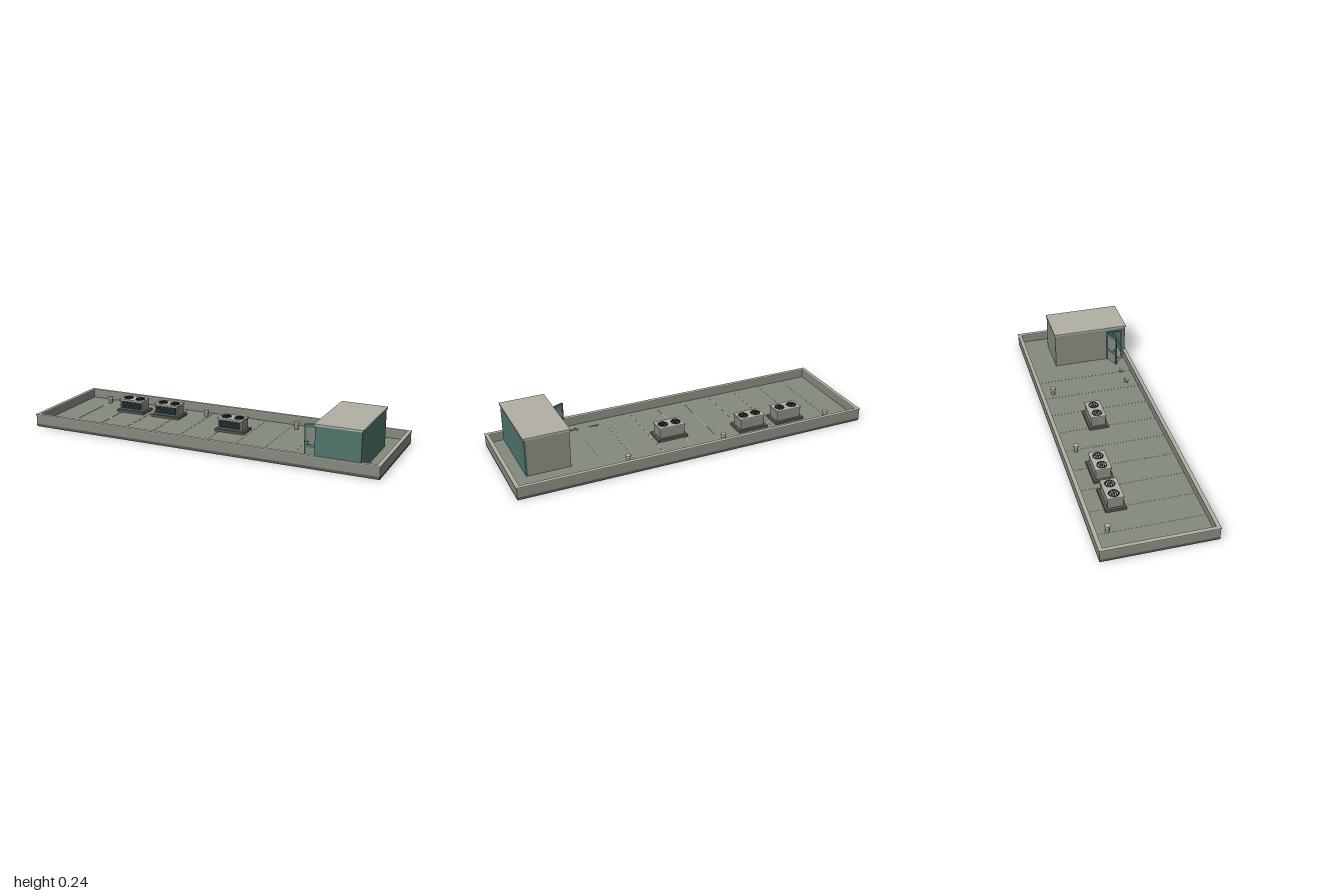
import * as THREE from 'three';

const mat = (name, color) => {
  const m = new THREE.MeshStandardMaterial({ color });
  m.name = name;
  return m;
};

export function createModel() {
  const M = {
    concrete: mat('concrete', 0x848a7e),
    trim: mat('pale trim', 0xb2afa3),
    teal: mat('teal cladding', 0x4d736a),
    dark: mat('dark base', 0x55564f),
    black: mat('fan black', 0x2a2d2c),
    navy: mat('grille navy', 0x1f303a),
  };
  const model = new THREE.Group();
  model.name = 'rooftop';

  const add = (parent, name, geo, material, x = 0, y = 0, z = 0) => {
    const m = new THREE.Mesh(geo, material);
    m.name = name;
    m.position.set(x, y, z);
    parent.add(m);
    return m;
  };
  // box given by its limits
  const box = (parent, name, material, x0, x1, y0, y1, z0, z1) =>
    add(parent, name, new THREE.BoxGeometry(x1 - x0, y1 - y0, z1 - z0), material,
      (x0 + x1) / 2, (y0 + y1) / 2, (z0 + z1) / 2);
  // horizontal plate with a rectangular hole; limits are [x0, x1, z0, z1]
  const rect = (P, [x0, x1, z0, z1]) => new P().setFromPoints([
    new THREE.Vector2(x0, -z1), new THREE.Vector2(x1, -z1),
    new THREE.Vector2(x1, -z0), new THREE.Vector2(x0, -z0), new THREE.Vector2(x0, -z1)]);
  const plate = (name, material, outer, hole, y0, y1) => {
    const s = rect(THREE.Shape, outer);
    s.holes.push(rect(THREE.Path, hole));
    const g = new THREE.ExtrudeGeometry(s, { depth: y1 - y0, bevelEnabled: false });
    g.rotateX(-Math.PI / 2);
    return add(model, name, g, material, 0, y0, 0);
  };

  // Slab with stairwell opening, roof deck, parapet and coping
  const well = [0.68, 0.87, -0.12, 0.2];
  const inner = [-0.982, 0.982, -0.285, 0.285];
  plate('slab', M.dark, [-0.997, 0.997, -0.3, 0.3], well, 0, 0.015);
  plate('roofDeck', M.concrete, inner, well, 0.015, 0.02);
  plate('parapet', M.concrete, [-0.997, 0.997, -0.3, 0.3], inner, 0.015, 0.066);
  plate('coping', M.trim, [-1, 1, -0.303, 0.303], [-0.979, 0.979, -0.282, 0.282], 0.066, 0.071);

  // Deck seams
  for (let i = -5; i <= 5; i++) {
    const x = i / 6;
    if (i === 4 || i === 5) continue;
    box(model, 'deckSeam', M.trim, x - 0.0015, x + 0.0015, 0.02, 0.0212, -0.285, 0.285);
  }

  // Vent pipes with caps
  for (const x of [-0.825, -0.18, 0.375]) {
    add(model, 'ventPipe', new THREE.CylinderGeometry(0.011, 0.011, 0.03, 16), M.concrete, x, 0.035, -0.215);
    add(model, 'ventCap', new THREE.CylinderGeometry(0.015, 0.015, 0.01, 16), M.trim, x, 0.055, -0.215);
  }

  // Cooling units
  for (const [x, z] of [[-0.61, -0.135], [-0.38, -0.135], [0.065, -0.045]]) {
    const unit = new THREE.Group();
    unit.name = 'coolingUnit';
    unit.position.set(x, 0.02, z);
    model.add(unit);
    box(unit, 'plinth', M.dark, -0.087, 0.087, 0, 0.014, -0.055, 0.055);
    box(unit, 'housing', M.concrete, -0.072, 0.072, 0.014, 0.07, -0.04, 0.04);
    box(unit, 'lid', M.trim, -0.076, 0.076, 0.07, 0.076, -0.044, 0.044);
    box(unit, 'grille', M.navy, -0.064, 0.064, 0.02, 0.064, 0.04, 0.042);
    for (let i = 0; i < 4; i++)
      box(unit, 'louvre', M.black, -0.064, 0.064, 0.025 + i * 0.01, 0.028 + i * 0.01, 0.042, 0.044);
    for (const fx of [-0.038, 0.038]) {
      const ring = add(unit, 'fanRing', new THREE.TorusGeometry(0.025, 0.003, 6, 24), M.black, fx, 0.077, 0);
      ring.rotation.x = Math.PI / 2;
      for (const dz of [-0.012, 0, 0.012]) {
        const w = dz ? 0.018 : 0.023;
        box(unit, 'fanSlat', M.black, fx - w, fx + w, 0.076, 0.079, dz - 0.0025, dz + 0.0025);
      }
      add(unit, 'fanHub', new THREE.CylinderGeometry(0.007, 0.007, 0.004, 12), M.black, fx, 0.078, 0);
    }
  }

  // Stair hut
  const hut = new THREE.Group();
  hut.name = 'stairHut';
  model.add(hut);
  const y0 = 0.02, y1 = 0.228;
  box(hut, 'frontWall', M.teal, 0.66, 0.9, y0, y1, 0.285, 0.296);
  box(hut, 'leftWall', M.teal, 0.89, 0.9, y0, y1, -0.134, 0.285);
  box(hut, 'backWall', M.concrete, 0.66, 0.89, y0, y1, -0.134, -0.124);
  box(hut, 'doorSideWall', M.concrete, 0.66, 0.67, y0, y1, -0.124, 0.19);
  box(hut, 'doorJamb', M.concrete, 0.66, 0.67, y0, y1, 0.272, 0.285);
  box(hut, 'doorHeader', M.concrete, 0.66, 0.67, 0.205, y1, 0.19, 0.272);
  box(hut, 'hutRoof', M.trim, 0.655, 0.905, y1, 0.238, -0.138, 0.301);

  // Door frame and threshold grating
  box(hut, 'frameTop', M.teal, 0.655, 0.66, 0.203, 0.211, 0.182, 0.28);
  for (const z of [0.182, 0.272])
    box(hut, 'frameSide', M.teal, 0.655, 0.66, y0, 0.203, z, z + 0.008);
  for (let i = 0; i < 5; i++)
    box(hut, 'thresholdBar', M.trim, 0.636, 0.66, y0, 0.027, 0.198 + i * 0.017, 0.206 + i * 0.017);

  // Door leaf swung open about its hinge
  const door = new THREE.Group();
  door.name = 'door';
  door.position.set(0.656, 0, 0.188);
  door.rotation.y = Math.atan2(0.032, 0.076);
  hut.add(door);
  box(door, 'leaf', M.concrete, -0.08, 0, 0.025, 0.2, -0.003, 0.003);
  box(door, 'topRail', M.teal, -0.082, 0, 0.186, 0.205, -0.005, 0.005);
  box(door, 'midRail', M.teal, -0.082, 0, 0.08, 0.098, -0.005, 0.005);
  box(door, 'freeStile', M.teal, -0.084, -0.074, 0.025, 0.204, -0.0045, 0.0045);
  box(door, 'handle', M.black, -0.074, -0.062, 0.11, 0.115, -0.008, 0.008);

  // Painted deck arrows pointing away from the door
  const arrow = new THREE.Shape([[-0.028, 0], [-0.004, 0.017], [-0.004, 0.005], [0.028, 0.005],
    [0.028, -0.005], [-0.004, -0.005], [-0.004, -0.017]].map(([x, y]) => new THREE.Vector2(x, y)));
  const arrowGeo = new THREE.ExtrudeGeometry(arrow, { depth: 0.002, bevelEnabled: false });
  arrowGeo.rotateX(-Math.PI / 2);
  for (const x of [0.4, 0.515, 0.625]) add(model, 'deckArrow', arrowGeo, M.teal, x, 0.02, 0.23);

  return model;
}
